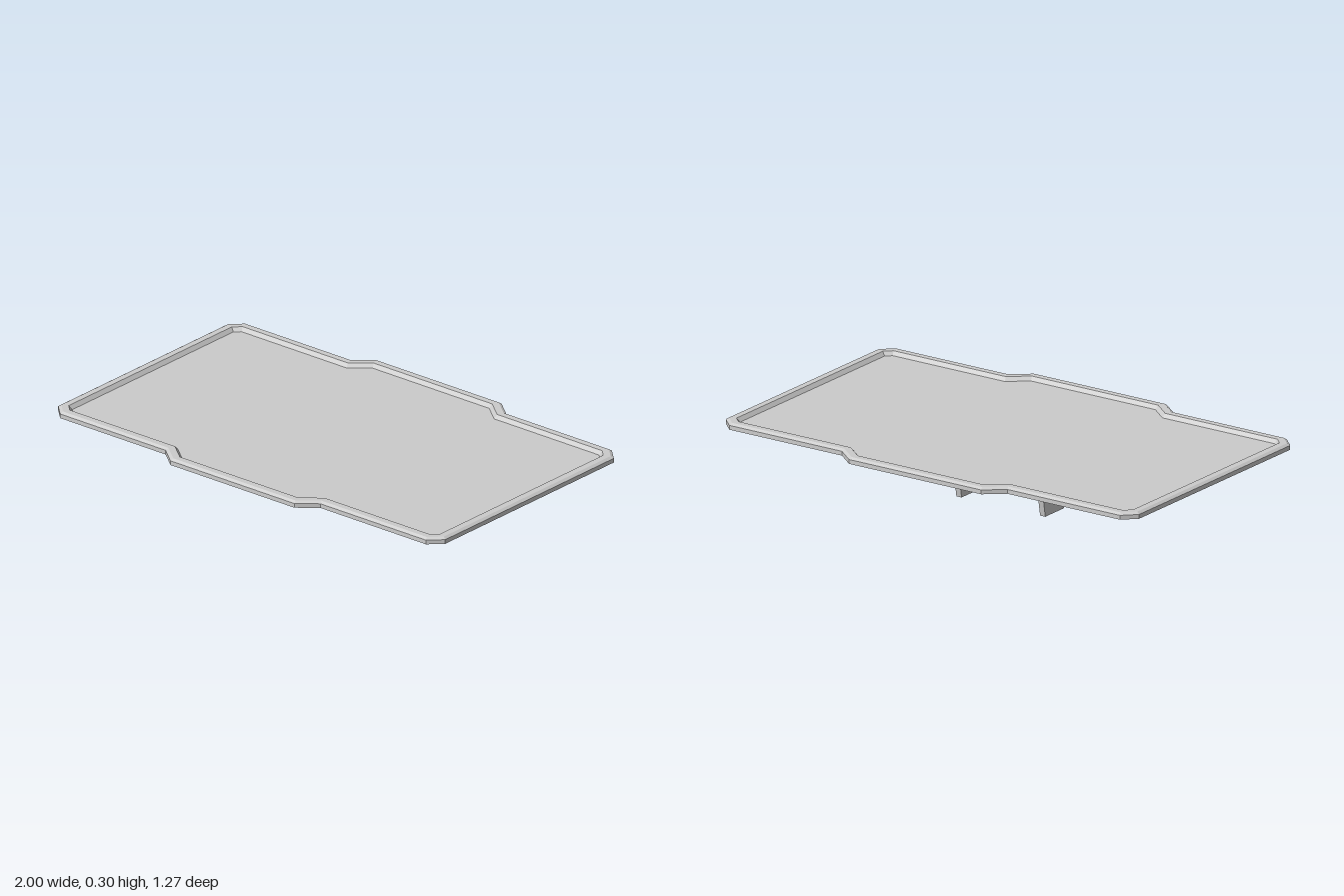
import * as THREE from 'three';

const material = new THREE.MeshStandardMaterial({ color: 0xcccccc, flatShading: true });

function addMesh(parent, name, geometry) {
  const mesh = new THREE.Mesh(geometry, material);
  mesh.name = name;
  parent.add(mesh);
  return mesh;
}

// Mirror one quadrant [x, z] into a closed counter-clockwise outline.
function mirrorOutline(quarter) {
  const flipped = [...quarter].reverse();
  return [
    ...quarter,
    ...flipped.map(([x, z]) => [-x, z]),
    ...quarter.map(([x, z]) => [-x, -z]),
    ...flipped.map(([x, z]) => [x, -z]),
  ].map(([x, z]) => new THREE.Vector2(x, z));
}

// Move every edge of the outline inwards by d, with mitred corners.
function inset(outline, d) {
  const n = outline.length;
  return outline.map((p, i) => {
    const a = p.clone().sub(outline[(i + n - 1) % n]).normalize();
    const b = outline[(i + 1) % n].clone().sub(p).normalize();
    const na = new THREE.Vector2(-a.y, a.x), nb = new THREE.Vector2(-b.y, b.x);
    const miter = na.clone().add(nb);
    return p.clone().addScaledVector(miter, d / (1 + na.dot(nb)));
  });
}

// Skin rings of [inset, y] around an outline and cap both ends.
function ringedSlab(outline, profile) {
  const n = outline.length, position = [], index = [];
  for (const [d, y] of profile)
    for (const p of inset(outline, d)) position.push(p.x, y, p.y);
  for (let r = 0; r < profile.length - 1; r++)
    for (let i = 0; i < n; i++) {
      const a = r * n + i, b = r * n + (i + 1) % n;
      index.push(a, a + n, b, b, a + n, b + n);
    }
  const last = (profile.length - 1) * n;
  for (const [a, b, c] of THREE.ShapeUtils.triangulateShape(outline, []))
    index.push(a, b, c, last + a, last + c, last + b);
  const geometry = new THREE.BufferGeometry();
  geometry.setAttribute('position', new THREE.Float32BufferAttribute(position, 3));
  geometry.setIndex(index);
  const flat = geometry.toNonIndexed();
  flat.computeVertexNormals();
  return flat;
}

export function createModel() {
  const model = new THREE.Group();
  model.name = 'trayTable';

  // Shallow tray with a bevelled raised rim and sunken floor
  const trayOutline = mirrorOutline([[1, 0.515], [0.945, 0.568], [0.4, 0.568], [0.32, 0.633]]);
  addMesh(model, 'tray', ringedSlab(trayOutline,
    [[0, 0.275], [0, 0.293], [0.012, 0.301], [0.04, 0.301], [0.053, 0.285]]));

  const bracket = new THREE.Group();
  bracket.name = 'bracket';
  bracket.position.set(-0.005, 0, 0.003);
  model.add(bracket);

  // Mounting plate, notched at front and back
  const plateOutline = mirrorOutline([[0.215, 0.141], [0.115, 0.141], [0.045, 0.066]]);
  addMesh(bracket, 'mountingPlate', ringedSlab(plateOutline, [[0, 0.259], [0, 0.2755]]));

  // Tapered side legs
  const legShape = new THREE.Shape([[-0.063, 0], [0.063, 0], [0.107, 0.259], [-0.107, 0.259]]
    .map(([z, y]) => new THREE.Vector2(z, y)));
  for (const [name, x] of [['leftLeg', 0.2025], ['rightLeg', -0.2025]]) {
    const geometry = new THREE.ExtrudeGeometry(legShape, { depth: 0.025, bevelEnabled: false });
    geometry.translate(0, 0, -0.0125).rotateY(Math.PI / 2);
    addMesh(bracket, name, geometry).position.set(x, 0, 0.004);
  }
  return model;
}
